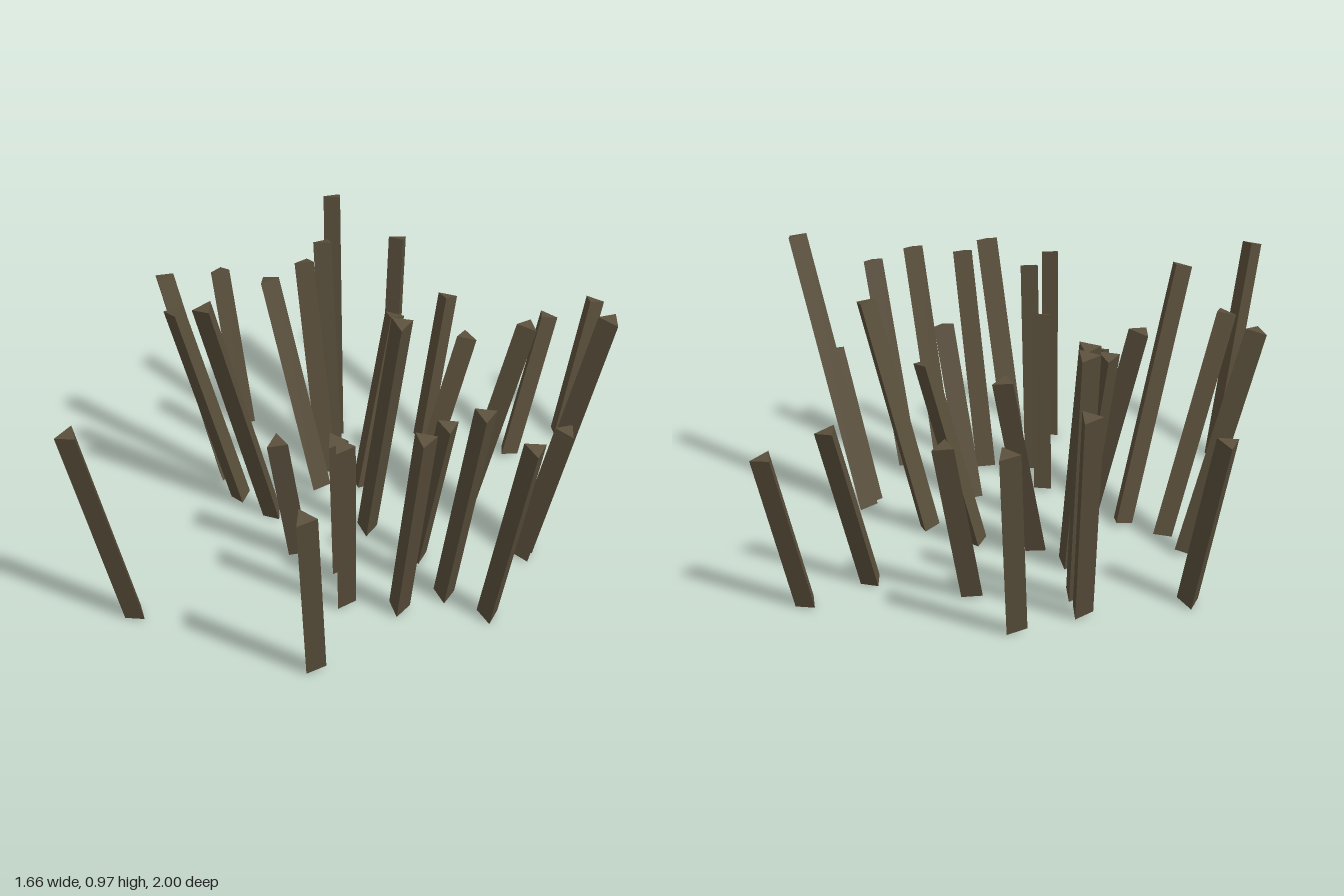
import * as THREE from 'three';

const TILT = THREE.MathUtils.degToRad(14.5); // every stake leans outward by this
const RADIUS = 0.04;

// Each stake: foot x, foot z, tip x, tip z, overall height
const STAKES = [
  [-0.215, -0.80, -0.245, -0.97, 0.65],
  [0.45, -0.83, 0.535, -0.95, 0.54],
  [-0.02, -0.615, 0.025, -0.75, 0.56],
  [0.315, -0.635, 0.41, -0.735, 0.56],
  [-0.33, -0.53, -0.42, -0.745, 0.89],
  [-0.38, -0.64, -0.45, -0.82, 0.73],
  [-0.685, -0.475, -0.81, -0.565, 0.60],
  [-0.245, -0.30, -0.365, -0.50, 0.83],
  [-0.26, -0.265, -0.405, -0.415, 0.78],
  [-0.12, -0.235, -0.055, -0.38, 0.65],
  [0.085, -0.25, 0.245, -0.32, 0.66],
  [0.28, -0.185, 0.50, -0.20, 0.81],
  [-0.24, -0.155, -0.46, -0.20, 0.80],
  [-0.58, -0.105, -0.81, -0.085, 0.80],
  [0.55, -0.08, 0.81, -0.04, 0.97],
  [0.55, -0.03, 0.705, 0.00, 0.56],
  [-0.47, 0.00, -0.665, 0.115, 0.79],
  [-0.315, 0.05, -0.485, 0.25, 0.90],
  [0.00, 0.005, 0.205, 0.19, 0.95],
  [0.225, 0.105, 0.365, 0.20, 0.62],
  [0.375, 0.275, 0.56, 0.43, 0.83],
  [0.55, 0.335, 0.72, 0.45, 0.76],
  [0.265, 0.40, 0.41, 0.565, 0.79],
  [-0.16, 0.225, -0.17, 0.36, 0.53],
  [0.005, 0.26, 0.06, 0.42, 0.62],
  [0.09, 0.435, 0.16, 0.615, 0.74],
  [0.12, 0.775, 0.175, 0.96, 0.70],
  [-0.515, 0.74, -0.605, 0.945, 0.80],
];

// Three-sided prism with flat faces
function prism(length) {
  const g = new THREE.CylinderGeometry(RADIUS, RADIUS, length, 3, 1, false, Math.PI / 3).toNonIndexed();
  g.computeVertexNormals();
  return g;
}

export function createModel() {
  const model = new THREE.Group();
  model.name = 'stakeCluster';
  const wood = new THREE.MeshStandardMaterial({ color: 0x5a4f3b });
  wood.name = 'darkWood';

  STAKES.forEach(([fx, fz, tx, tz, h], i) => {
    const yaw = Math.atan2(tz - fz, tx - fx);
    const length = (h - 1.5 * RADIUS * Math.sin(TILT)) / Math.cos(TILT);
    const stake = new THREE.Mesh(prism(length), wood);
    stake.name = `stake${i + 1}`;
    // the prism axis sits a little to one side of its visible middle
    const side = RADIUS * 0.25;
    stake.position.set(
      (fx + tx) / 2 - Math.sin(yaw) * side, h / 2, (fz + tz) / 2 + Math.cos(yaw) * side);
    stake.rotation.set(0, -yaw, -TILT, 'YXZ');
    model.add(stake);
  });
  return model;
}
